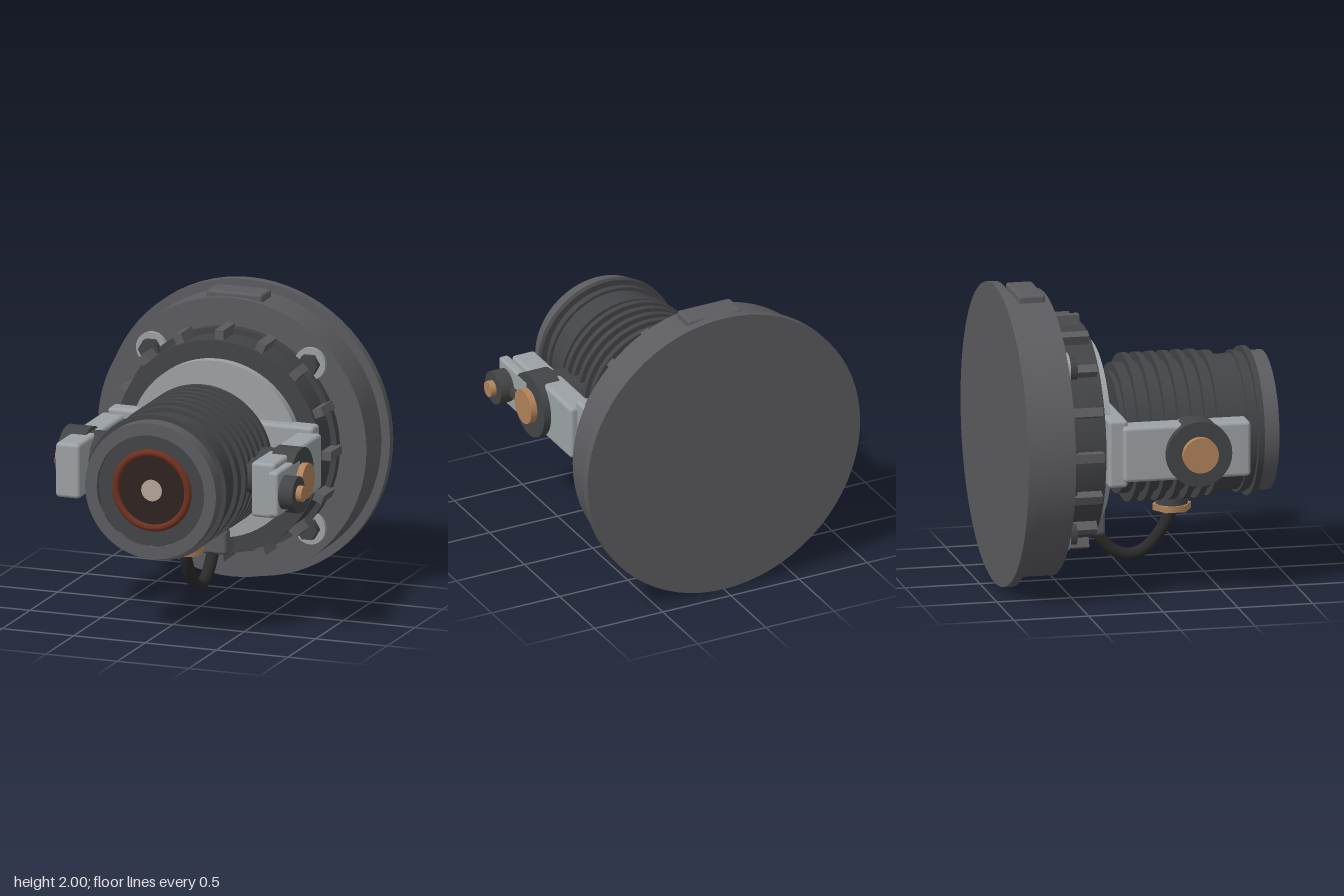
import * as THREE from 'three';
import { toCreasedNormals } from 'three/addons/utils/BufferGeometryUtils.js';
import { RoundedBoxGeometry } from 'three/addons/geometries/RoundedBoxGeometry.js';

const mat = (color) => new THREE.MeshStandardMaterial({ color });

export function createModel() {
  const model = new THREE.Group();
  model.name = 'wallLamp';
  const CY = 1; // height of the optical axis
  const base = mat(0x5c5c60), dark = mat(0x434446), rubber = mat(0x2a2a2b);
  const light = mat(0x9ca1a5), copper = mat(0xb0835a);
  const red = mat(0x6e3020), glass = mat(0x2e2320), bulb = mat(0xb5a595);

  const add = (name, geo, material, x = 0, y = 0, z = 0) => {
    const m = new THREE.Mesh(geo, material);
    m.name = name;
    m.position.set(x, y, z);
    model.add(m);
    return m;
  };
  // Cylinder along z between two depths
  const discZ = (name, r, z0, z1, material, x = 0, y = CY, seg = 72, turn = 0) =>
    add(name, new THREE.CylinderGeometry(r, r, z1 - z0, seg, 1, false, turn).rotateX(Math.PI / 2),
      material, x, y, (z0 + z1) / 2);
  // Cylinder along x between two positions
  const discX = (name, r, x0, x1, material, z) =>
    add(name, new THREE.CylinderGeometry(r, r, Math.abs(x1 - x0), 48).rotateZ(Math.PI / 2),
      material, (x0 + x1) / 2, CY, z);
  // Rounded box from its limits
  const block = (name, [x0, x1], [y0, y1], [z0, z1], material, r = 0.02) =>
    add(name, new RoundedBoxGeometry(Math.abs(x1 - x0), y1 - y0, z1 - z0, 3, r),
      material, (x0 + x1) / 2, (y0 + y1) / 2, (z0 + z1) / 2);
  // Turned part about the optical axis, points as [radius, z] from back to front
  const turned = (name, pts, material) =>
    add(name, toCreasedNormals(new THREE.LatheGeometry(
      pts.map(([r, z]) => new THREE.Vector2(r, z)), 72).rotateX(Math.PI / 2), 0.5), material, 0, CY);

  // Mounting base
  turned('mountingBase', [[0, -0.9], [1, -0.9], [1, -0.84], [0.94, -0.84], [0.94, -0.57], [0, -0.57]], base);
  block('topTab', [-0.195, 0.195], [1.9, 1.97], [-0.785, -0.605], base, 0.02);

  // Toothed collar
  turned('collar', [[0, -0.57], [0.755, -0.57], [0.755, -0.51], [0.715, -0.51], [0.715, -0.315], [0, -0.315]], dark);
  for (let i = 0; i < 16; i++) {
    const a = (i * Math.PI) / 8;
    const tooth = add('collarTooth', new THREE.BoxGeometry(0.1, 0.06, 0.2), base,
      0.73 * Math.cos(a), CY + 0.73 * Math.sin(a), -0.44);
    tooth.rotation.z = a;
  }
  discZ('swivelPlate', 0.595, -0.32, -0.25, light);

  // Bolts with washers
  for (const sx of [-1, 1]) for (const sy of [-1, 1]) {
    const x = sx * 0.555, y = CY + sy * 0.555;
    discZ('boltWasher', 0.108, -0.575, -0.54, light, x, y, 32);
    discZ('boltHead', 0.073, -0.54, -0.485, dark, x, y, 6, Math.PI / 2);
  }

  // Yoke with pivots on both sides
  block('yokeBar', [-0.72, 0.72], [0.775, 1.23], [-0.3, -0.17], light, 0.025);
  for (const s of [-1, 1]) {
    block('yokeArm', [s * 0.6, s * 0.77], [0.82, 1.19], [-0.21, 0.64], light, 0.025);
    discX('pivotBoss', 0.195, s * 0.545, s * 0.65, dark, 0.285);
    discX('pivotDisc', 0.218, s * 0.65, s * 0.82, dark, 0.285);
    discX('pivotSpindle', 0.12, s * 0.4, s * 0.56, dark, 0.285);
    discX('pivotCap', 0.118, s * 0.81, s * 0.865, copper, 0.285);
  }

  // Locking knob on the left arm
  block('lockBracket', [0.75, 0.822], [0.855, 1.155], [0.31, 0.72], light);
  discX('lockKnob', 0.112, 0.82, 0.92, dark, 0.605);
  discX('lockKnobCap', 0.053, 0.92, 0.96, copper, 0.605);
  block('lockLink', [0.815, 0.85], [0.97, 1.03], [0.3, 0.6], dark, 0.005);

  // Lamp barrel with cooling fins
  const profile = [[0, -0.14], [0.375, -0.14], [0.375, -0.11], [0.43, -0.11]];
  for (let i = 0; i < 6; i++) {
    const z = -0.022 + i * 0.0895;
    profile.push([0.43, z - 0.02], [0.488, z - 0.02], [0.488, z + 0.02], [0.43, z + 0.02]);
  }
  profile.push([0.43, 0.49], [0.475, 0.49], [0.475, 0.552], [0.445, 0.552], [0.445, 0.69],
    [0.465, 0.69], [0.465, 0.73], [0.45, 0.73], [0.45, 0.757], [0.49, 0.757], [0.49, 0.797],
    [0.455, 0.797], [0.455, 0.9], [0.375, 0.9], [0.375, 0.875], [0, 0.875]);
  turned('barrel', profile, dark);
  turned('frontRim', [[0.455, 0.8], [0.458, 0.8], [0.458, 0.902], [0.375, 0.902], [0.375, 0.87]], base);
  discZ('rearStub', 0.04, -0.18, -0.13, rubber, 0, CY, 24);

  // Lens
  add('lensRing', new THREE.TorusGeometry(0.252, 0.025, 12, 72), red, 0, CY, 0.875);
  discZ('lens', 0.24, 0.86, 0.88, glass);
  discZ('lensCentre', 0.072, 0.87, 0.885, bulb, 0, CY, 40);

  // Cable gland, cable and junction block
  add('glandBody', new THREE.CylinderGeometry(0.105, 0.105, 0.16, 32), dark, 0, 0.55, 0.285);
  add('glandNut', new THREE.CylinderGeometry(0.13, 0.13, 0.042, 6), copper, 0, 0.453, 0.285);
  const path = new THREE.CatmullRomCurve3([
    [0.29, 0.47], [0.265, 0.39], [0.19, 0.265], [0.1, 0.175], [0, 0.145],
    [-0.1, 0.175], [-0.18, 0.25], [-0.24, 0.34]].map(([z, y]) => new THREE.Vector3(0, y, z)));
  add('cable', new THREE.TubeGeometry(path, 48, 0.041, 16), rubber);
  block('junctionBlock', [-0.11, 0.11], [0.305, 0.475], [-0.34, -0.18], base, 0.025);

  return model;
}
